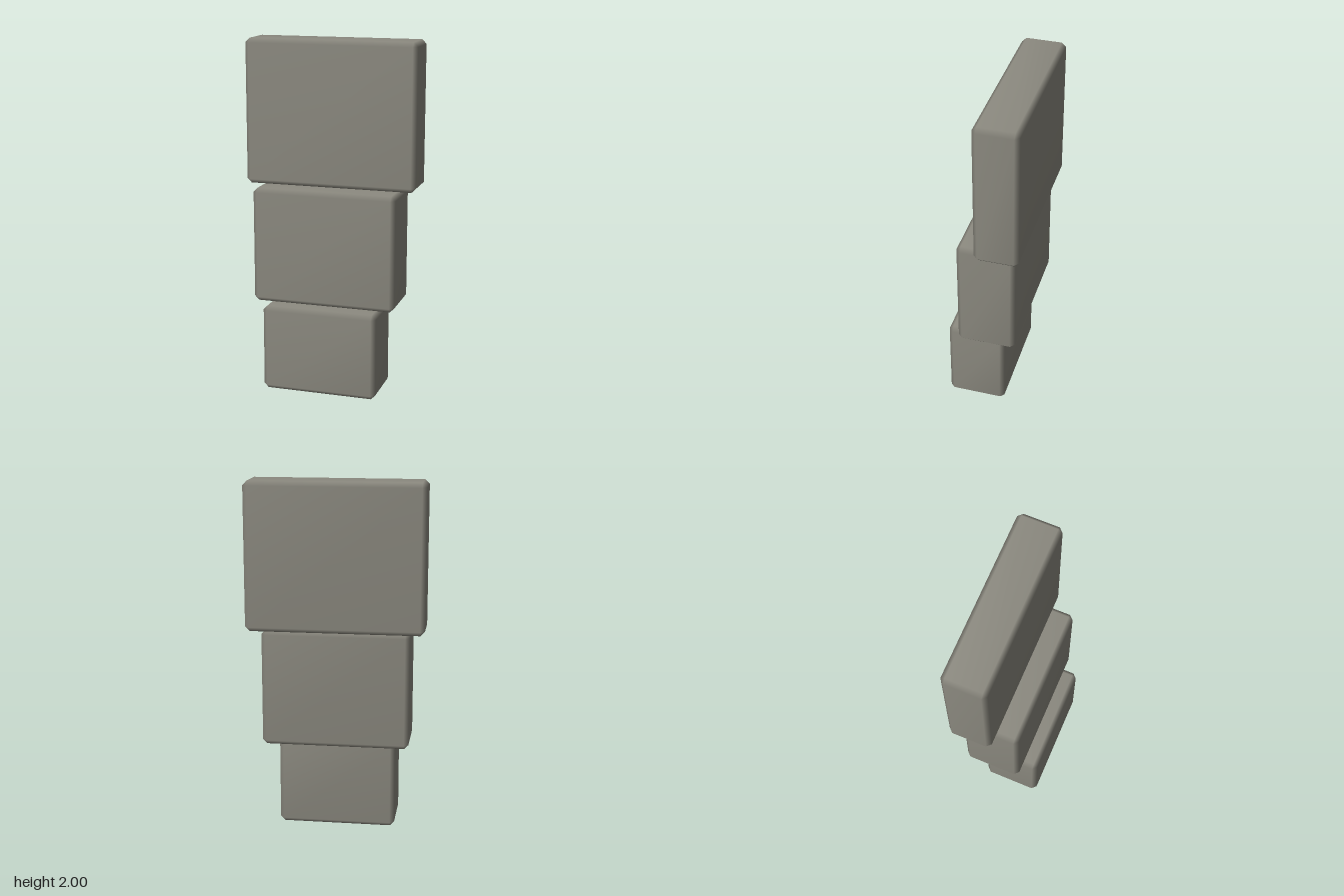
import * as THREE from 'three';
import { mergeVertices } from 'three/addons/utils/BufferGeometryUtils.js';
import { ConvexGeometry } from 'three/addons/geometries/ConvexGeometry.js';

// Box with a single flat bevel on every edge and normals shared across it
function beveledBox(w, h, d, b) {
  const half = [w / 2, h / 2, d / 2];
  const points = [];
  for (const sx of [-1, 1]) for (const sy of [-1, 1]) for (const sz of [-1, 1]) {
    const sign = [sx, sy, sz];
    // Each corner becomes three points, one on each adjoining face
    for (let face = 0; face < 3; face++) {
      points.push(new THREE.Vector3(...half.map((s, i) => sign[i] * (i === face ? s : s - b))));
    }
  }
  let geometry = new ConvexGeometry(points);
  geometry.deleteAttribute('normal');
  geometry = mergeVertices(geometry, 1e-5);
  geometry.computeVertexNormals();
  return geometry;
}

export function createModel() {
  const model = new THREE.Group();
  model.name = 'steppedStone';
  const stone = new THREE.MeshStandardMaterial({ color: 0x8c8a80 });
  stone.name = 'warm grey stone';

  // Three blocks stacked from the ground up, each wider and set further back
  const blocks = [
    { name: 'lowerBlock', size: [0.667, 0.5, 0.333], z: 0.0625 },
    { name: 'middleBlock', size: [0.833, 0.667, 0.333], z: -0.021 },
    { name: 'upperBlock', size: [1, 0.833, 0.25], z: -0.104 },
  ];
  let base = 0;
  for (const { name, size, z } of blocks) {
    const block = new THREE.Mesh(beveledBox(...size, 0.025), stone);
    block.name = name;
    block.position.set(0, base + size[1] / 2, z);
    model.add(block);
    base += size[1];
  }
  return model;
}
